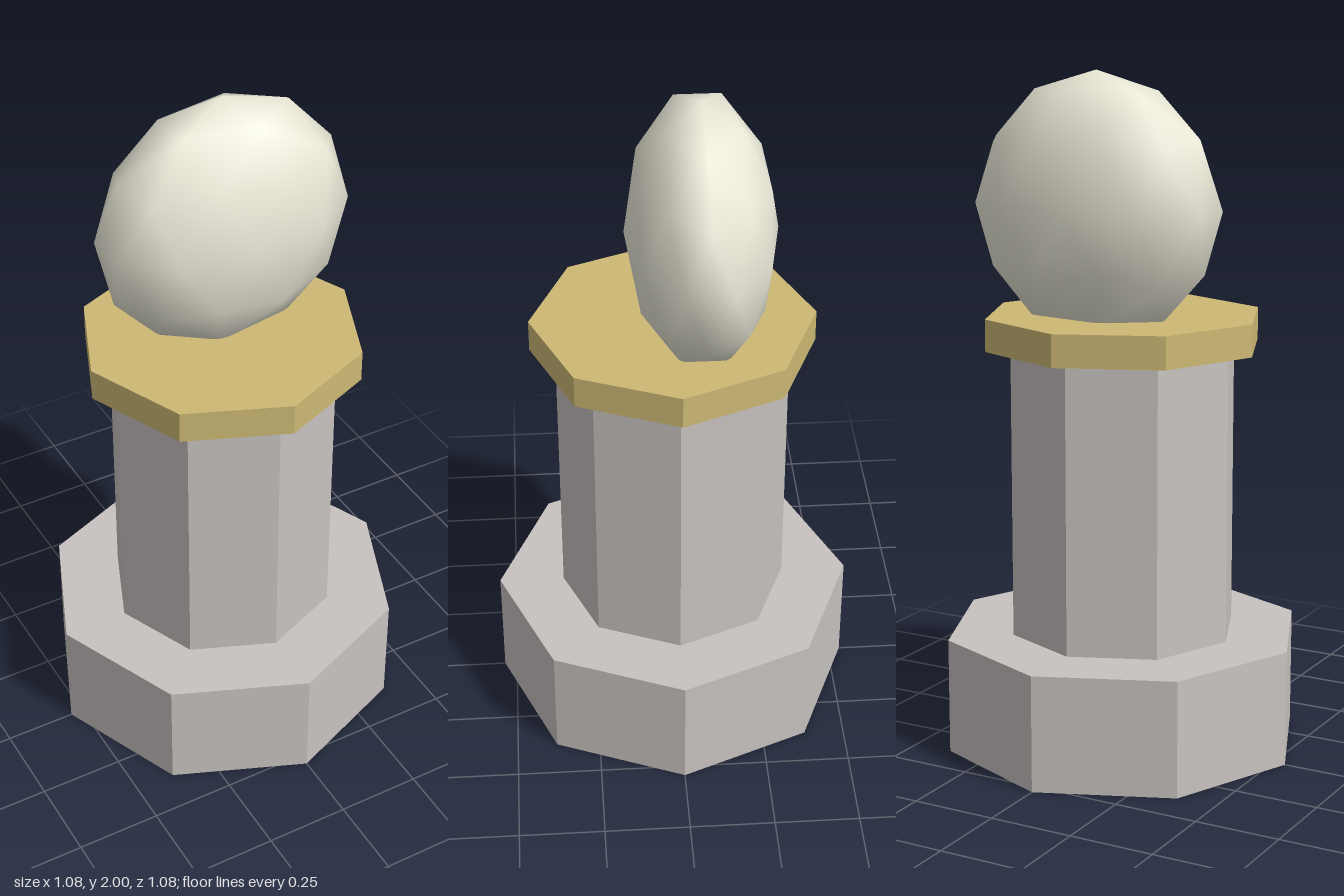
import * as THREE from 'three';

export function createModel() {
  const group = new THREE.Group();
  const stone = new THREE.MeshStandardMaterial({ color: 0xc8c3c0, flatShading: true });
  const brass = new THREE.MeshStandardMaterial({ color: 0xcdb974, flatShading: true });
  const ivory = new THREE.MeshStandardMaterial({ color: 0xebe9d8 });

  const add = (name, geometry, material) => {
    const mesh = new THREE.Mesh(geometry, material);
    mesh.name = name;
    group.add(mesh);
    return mesh;
  };

  // Stacked octagonal drums, corners on the axes
  const drum = (name, radius, bottom, top, material) => {
    const height = top - bottom;
    add(name, new THREE.CylinderGeometry(radius, radius, height, 8), material)
      .position.y = bottom + height / 2;
  };
  drum('base', 0.538, 0, 0.344, stone);
  drum('column', 0.341, 0.344, 1.2, stone);
  drum('capPlate', 0.415, 1.2, 1.295, brass);

  // Flattened smooth icosphere, a corner pointing up, sunk into the plate
  const orb = new THREE.IcosahedronGeometry(1, 1);
  orb.rotateZ(-Math.atan(2 / (1 + Math.sqrt(5))));
  orb.scale(0.39, 0.39, 0.215);
  add('orb', orb, ivory).position.set(0.048, 1.61, -0.075);

  return group;
}
